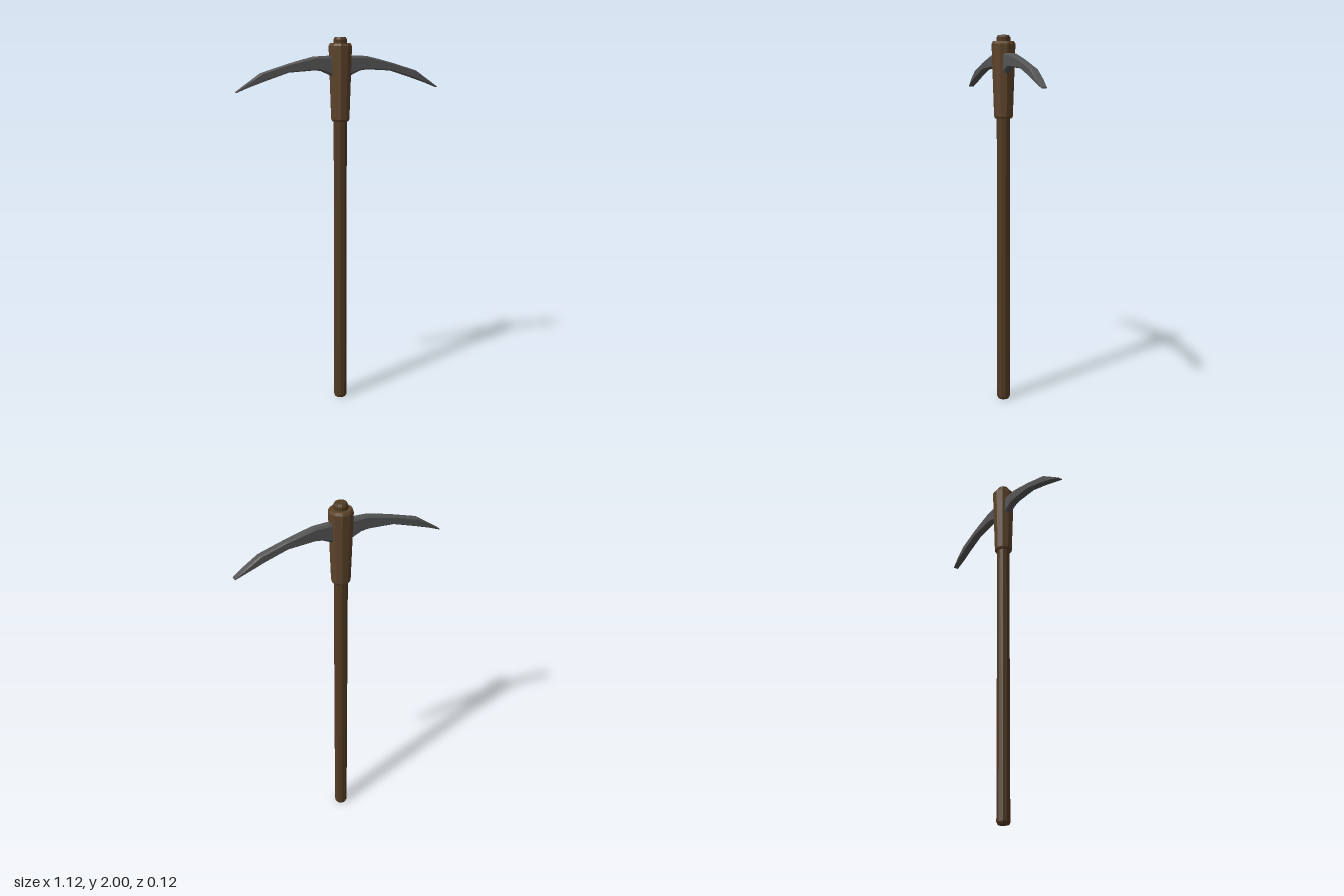
import * as THREE from 'three';

const SIDES = 10;

function material(color) {
  return new THREE.MeshStandardMaterial({ color, flatShading: true });
}

// Ten-sided turned part from [radius, height] pairs, corners on the x axis
function turned(name, profile, mat) {
  const points = profile.map(([r, y]) => new THREE.Vector2(r, y));
  const geometry = new THREE.LatheGeometry(points, SIDES, Math.PI / 2);
  const mesh = new THREE.Mesh(geometry, mat);
  mesh.name = name;
  return mesh;
}

// Blade lofted through chamfered cross-sections, tip to tip
function bladeGeometry() {
  // [top x, top y, bottom x, bottom y, half thickness]
  const half = [
    [0.04, 1.905, 0.04, 1.795, 0.021],
    [0.07, 1.905, 0.065, 1.81, 0.021],
    [0.145, 1.902, 0.106, 1.828, 0.021],
    [0.22, 1.884, 0.145, 1.833, 0.021],
    [0.29, 1.865, 0.286, 1.824, 0.021],
    [0.43, 1.823, 0.405, 1.786, 0.021],
    [0.505, 1.772, 0.495, 1.755, 0.02],
    [0.562, 1.733, 0.56, 1.729, 0.014],
  ];
  const mirrored = half.map(([a, b, c, d, w]) => [-a, b, -c, d, w]).reverse();
  const stations = [...mirrored, ...half];

  // [side, share of height], anticlockwise seen from +x
  const ring = [
    [-0.65, 1], [-1, 0.88], [-1, 0.12], [-0.65, 0],
    [0.65, 0], [1, 0.12], [1, 0.88], [0.65, 1],
  ];
  const n = ring.length;
  const positions = [];
  const index = [];
  for (const [tx, ty, bx, by, w] of stations) {
    for (const [s, t] of ring) {
      positions.push(bx + (tx - bx) * t, by + (ty - by) * t, s * w);
    }
  }
  for (let i = 0; i < stations.length - 1; i++) {
    for (let j = 0; j < n; j++) {
      const a = i * n + j;
      const b = i * n + (j + 1) % n;
      index.push(a, a + n, b, b, a + n, b + n);
    }
  }
  // Blunt ends
  const last = (stations.length - 1) * n;
  for (let j = 1; j < n - 1; j++) {
    index.push(0, j, j + 1, last, last + j + 1, last + j);
  }
  const geometry = new THREE.BufferGeometry();
  geometry.setAttribute('position', new THREE.Float32BufferAttribute(positions, 3));
  geometry.setIndex(index);
  geometry.computeVertexNormals();
  return geometry;
}

export function createModel() {
  const group = new THREE.Group();
  group.name = 'pickaxe';

  // Long shaft, its end showing above the socket
  group.add(turned('handle', [
    [0, 0], [0.03, 0], [0.036, 0.012], [0.036, 1.988], [0.029, 2], [0, 2],
  ], material(0x513a22)));

  // Tapered collar holding the blade
  group.add(turned('socket', [
    [0.03, 1.566], [0.044, 1.566], [0.05, 1.576],
    [0.063, 1.955], [0.055, 1.968], [0.03, 1.968],
  ], material(0x5c432a)));

  // Curved double-pointed head
  const blade = new THREE.Mesh(bladeGeometry(), material(0x555555));
  blade.name = 'blade';
  group.add(blade);

  return group;
}
